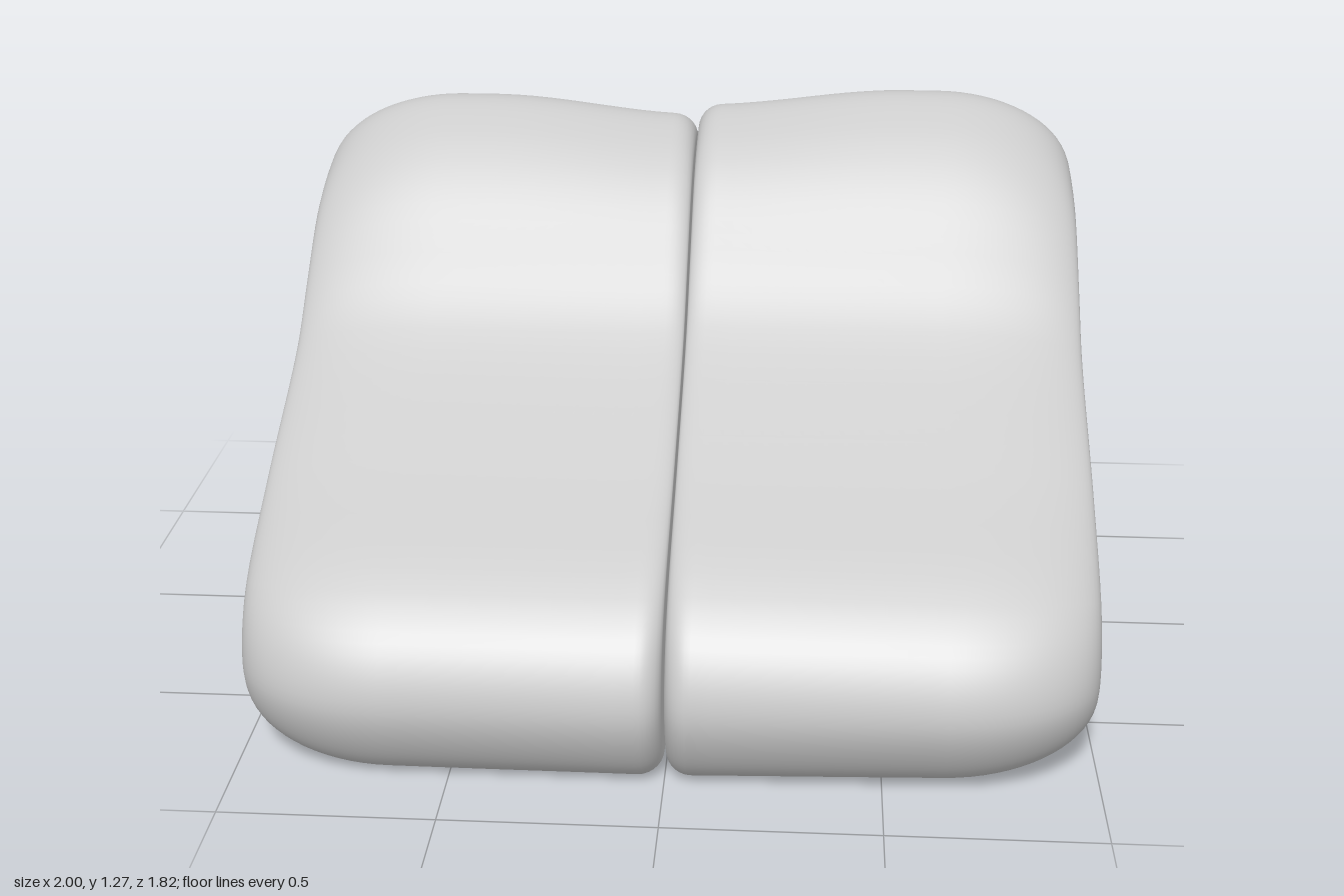
import * as THREE from 'three';

// Side profile of a cushion as [z, y] paired with the smaller outline [z, y] of its outer face
const PROFILE = [
  [0.91, 0.22, 0.70, 0.24], [0.87, 0.35, 0.68, 0.32], [0.76, 0.455, 0.62, 0.40],
  [0.40, 0.62, 0.36, 0.56], [0.03, 0.82, 0.00, 0.75], [-0.13, 0.97, -0.14, 0.87],
  [-0.30, 1.14, -0.30, 1.00], [-0.43, 1.23, -0.42, 1.05], [-0.56, 1.275, -0.54, 1.07],
  [-0.70, 1.23, -0.63, 1.04], [-0.83, 1.12, -0.70, 0.98], [-0.905, 1.0, -0.74, 0.91],
  [-0.86, 0.85, -0.72, 0.82], [-0.74, 0.62, -0.62, 0.71], [-0.50, 0.41, -0.41, 0.56],
  [-0.13, 0.12, -0.10, 0.34], [0.00, 0.095, 0.04, 0.29], [0.40, 0.045, 0.38, 0.21],
  [0.70, 0.005, 0.60, 0.16], [0.80, 0.01, 0.66, 0.16], [0.87, 0.09, 0.69, 0.19],
];
const STEPS = 5; // subdivisions between profile points
const AROUND = PROFILE.length * STEPS;

// Smooth closed loop; getPoint keeps both outlines in step
function loop(zi, yi) {
  const curve = new THREE.CatmullRomCurve3(
    PROFILE.map((p) => new THREE.Vector3(0, p[yi], p[zi])), true, 'centripetal');
  return Array.from({ length: AROUND }, (_, i) => curve.getPoint(i / AROUND));
}

// Stations across the width: x, inset towards the face outline, and cap shrink
function stations() {
  const list = [];
  for (const s of [0, 0.35, 0.7]) list.push({ x: 0.003, inset: 0.28, size: s });
  for (let i = 0; i <= 7; i++) { // tight rounding at the seam
    const a = (i / 7) * Math.PI / 2;
    list.push({ x: 0.003 + 0.06 * (1 - Math.cos(a)), inset: 0.28 * (1 - Math.sin(a)), size: 1 });
  }
  for (let i = 1; i < 12; i++) list.push({ x: 0.063 + 0.577 * i / 12, inset: 0, size: 1 });
  for (let i = 0; i <= 18; i++) { // broad rounding at the outer side
    const a = (i / 18) * Math.PI / 2;
    list.push({ x: 0.64 + 0.352 * Math.sin(a), inset: 1 - Math.cos(a), size: 1 });
  }
  for (const s of [0.85, 0.6, 0.3, 0]) {
    list.push({ x: 0.992 + 0.008 * (1 - s * s), inset: 1, size: s });
  }
  return list;
}

function cushion(name, side, heightScale, bottomRise) {
  const full = loop(0, 1), face = loop(2, 3), rows = stations();
  const centre = new THREE.Vector3(0, 0.52, 0.02);
  const positions = [], index = [], p = new THREE.Vector3();

  for (const { x, inset, size } of rows) {
    // The back end and the bend of the underside sink gently towards the seam
    const sink = 0.24 * (1 - THREE.MathUtils.smoothstep(x, 0, 0.55));
    for (let i = 0; i < AROUND; i++) {
      const back = THREE.MathUtils.smoothstep(-full[i].z, 0.1, 0.7);
      const belly = 1.6 * Math.exp(-(((i / STEPS - 15.5) / 1.8) ** 2));
      p.lerpVectors(full[i], face[i], Math.min(1, inset + sink * Math.max(back, belly)));
      p.lerp(centre, 1 - size);
      const low = 1 - THREE.MathUtils.smoothstep(p.y, 0, 0.4);
      positions.push(side * x, p.y * heightScale + bottomRise * x * low, p.z);
    }
  }
  for (let r = 0; r < rows.length - 1; r++) {
    for (let i = 0; i < AROUND; i++) {
      const j = (i + 1) % AROUND;
      const a = r * AROUND + i, b = r * AROUND + j, c = a + AROUND, d = b + AROUND;
      const quad = side > 0 ? [a, c, b, b, c, d] : [a, b, c, b, d, c];
      // Skip collapsed triangles at the two cap centres
      if (rows[r].size === 0) index.push(...quad.slice(3));
      else if (rows[r + 1].size === 0) index.push(...quad.slice(0, 3));
      else index.push(...quad);
    }
  }
  const geometry = new THREE.BufferGeometry();
  geometry.setAttribute('position', new THREE.Float32BufferAttribute(positions, 3));
  geometry.setIndex(index);
  geometry.computeVertexNormals();
  const mesh = new THREE.Mesh(geometry, new THREE.MeshStandardMaterial({ color: 0xcccccc }));
  mesh.name = name;
  return mesh;
}

export function createModel() {
  const group = new THREE.Group();
  group.name = 'bentCushionPair';
  group.add(cushion('leftCushion', 1, 1, 0.03));
  group.add(cushion('rightCushion', -1, 0.978, 0.005));
  return group;
}
